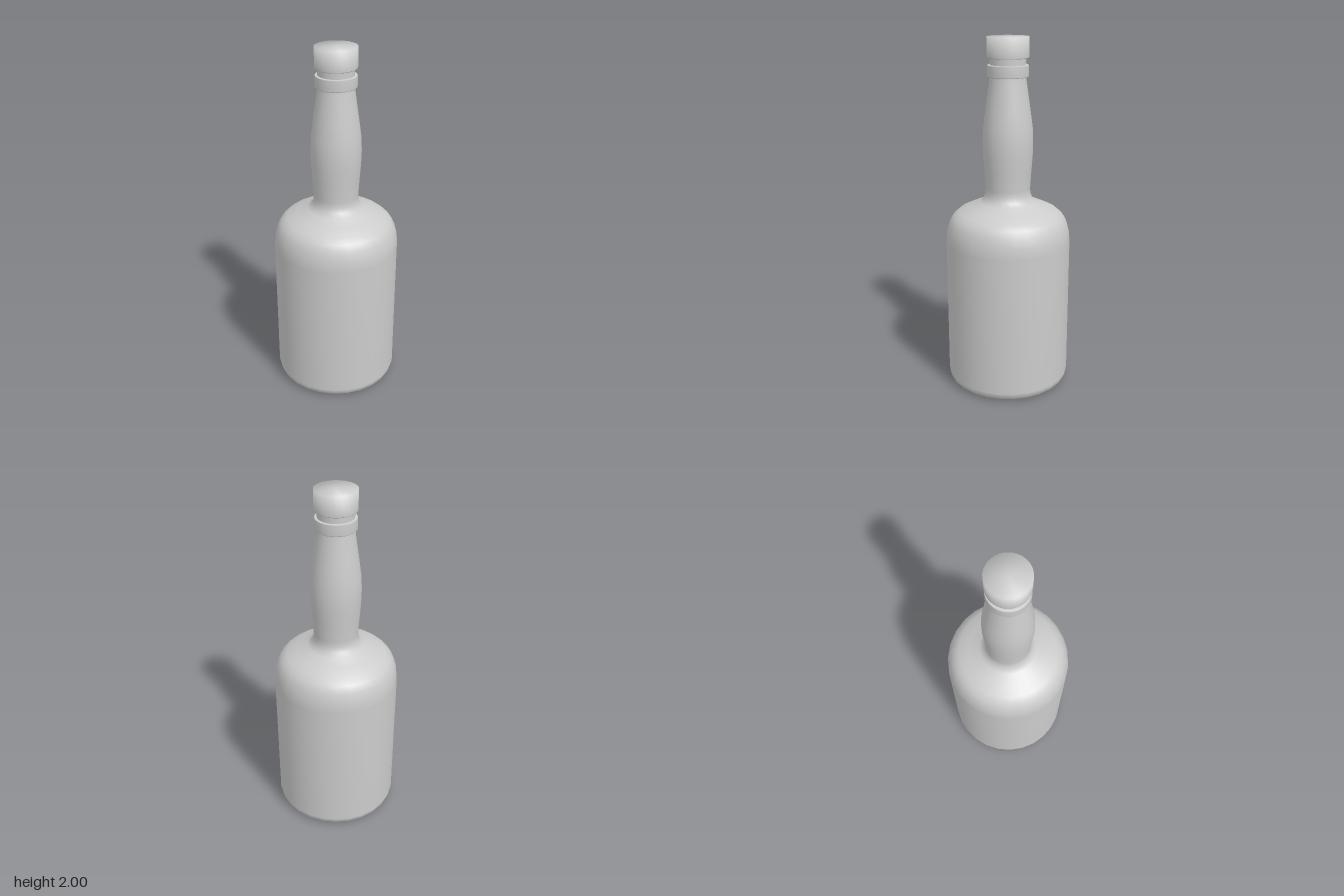
import * as THREE from 'three';

const SIDES = 27;

// Revolves a [radius, height] profile, listed from bottom to top
function turned(name, profile) {
  const points = profile.map(([r, y]) => new THREE.Vector2(r, y));
  const mesh = new THREE.Mesh(
    new THREE.LatheGeometry(points, SIDES, Math.PI),
    new THREE.MeshStandardMaterial({ color: 0xcccccc })
  );
  mesh.name = name;
  return mesh;
}

export function createModel() {
  const bottle = new THREE.Group();
  bottle.name = 'bottle';

  // Flat base
  bottle.add(turned('base', [[0, 0], [0.3, 0]]));

  // Body with rounded foot, shoulder and bulging neck
  bottle.add(turned('bodyAndNeck', [
    [0.3, 0], [0.325, 0.006], [0.344, 0.022], [0.354, 0.055],
    [0.354, 0.86], [0.349, 0.92], [0.334, 0.975], [0.312, 1.01], [0.28, 1.037],
    [0.22, 1.065], [0.16, 1.092], [0.138, 1.112], [0.127, 1.14], [0.125, 1.17],
    [0.131, 1.26], [0.138, 1.36], [0.14, 1.43], [0.137, 1.51],
    [0.125, 1.6], [0.112, 1.69], [0.101, 1.77], [0.098, 1.8], [0.098, 1.9],
  ]));

  // Raised collar below the stopper
  bottle.add(turned('collar', [
    [0.097, 1.788], [0.11, 1.788], [0.113, 1.792], [0.113, 1.848], [0.11, 1.852], [0.097, 1.852],
  ]));

  // Stopper, softly shaded over its flat top
  bottle.add(turned('stopper', [
    [0.09, 1.888], [0.111, 1.888], [0.114, 1.892], [0.115, 2], [0, 2],
  ]));

  return bottle;
}
